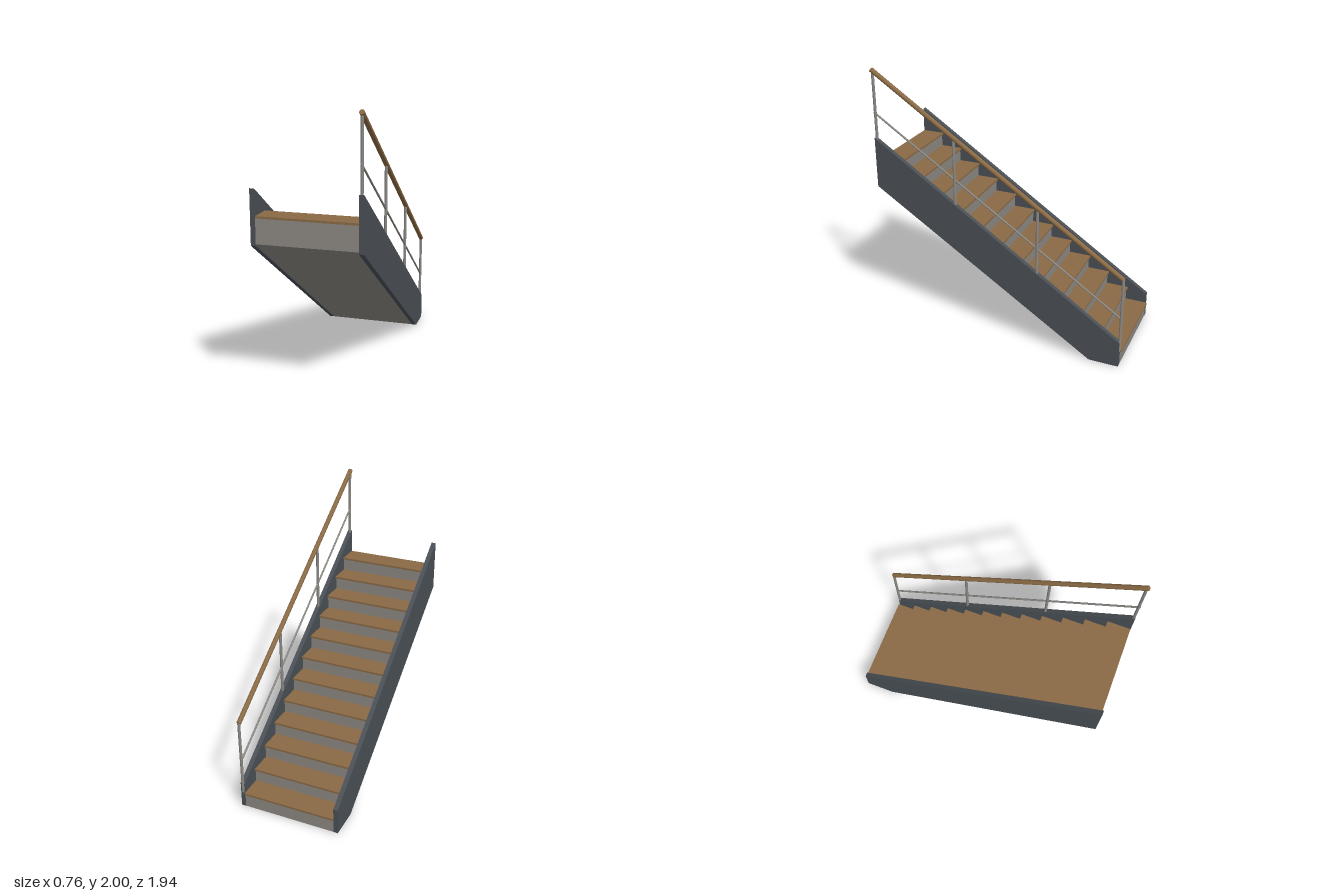
import * as THREE from 'three';

const STEPS = 12, RUN = 0.1595, RISE = 0.1063;
const FIRST_Z = -0.958, FIRST_Y = 0.121, END_Z = 0.957;
const TREAD = 0.015, NOSE = 0.012;
const INNER = 0.348, OUTER = 0.382, RAIL_X = 0.364;

export function createModel() {
  const mat = (name, color) => {
    const m = new THREE.MeshStandardMaterial({ color });
    m.name = name;
    return m;
  };
  const wood = mat('wood', 0x8a6a45);
  const paintedSteel = mat('dark painted steel', 0x4a5056);
  const concrete = mat('grey stair body', 0x8c8883);
  const metal = mat('rail metal', 0x8a8883);

  const model = new THREE.Group();
  model.name = 'staircase';
  const add = (name, geometry, material) => {
    const mesh = new THREE.Mesh(geometry, material);
    mesh.name = name;
    model.add(mesh);
    return mesh;
  };

  // Side profile given as [z, y] points, extruded across x from x0 to x1
  const sideProfile = (points, x0, x1) => {
    const shape = new THREE.Shape(points.map(([z, y]) => new THREE.Vector2(z, y)));
    const g = new THREE.ExtrudeGeometry(shape, { depth: x1 - x0, bevelEnabled: false });
    return g.rotateY(-Math.PI / 2).translate(x1, 0, 0);
  };

  // Round bar between two [z, y] points in the railing plane
  const bar = (name, a, b, radius, material, sides) => {
    const p = new THREE.Vector3(RAIL_X, a[1], a[0]);
    const q = new THREE.Vector3(RAIL_X, b[1], b[0]);
    const dir = q.clone().sub(p);
    const mesh = add(name, new THREE.CylinderGeometry(radius, radius, dir.length(), sides), material);
    mesh.position.copy(p).add(q).multiplyScalar(0.5);
    mesh.quaternion.setFromUnitVectors(new THREE.Vector3(0, 1, 0), dir.normalize());
  };

  // Stringers
  const stringer = [[-0.958, 0], [-0.737, 0], [END_Z, 1.09], [END_Z, 1.472], [-0.958, 0.197]];
  add('leftStringer', sideProfile(stringer, INNER, OUTER), paintedSteel);
  add('rightStringer', sideProfile(stringer, -OUTER, -INNER), paintedSteel);

  // Stepped body with risers and sloping soffit
  const body = [[FIRST_Z, 0.001], [-0.737, 0.001], [END_Z - 0.002, 1.102]];
  for (let i = STEPS - 1; i >= 0; i--) {
    const y = FIRST_Y + i * RISE - TREAD;
    const back = i === STEPS - 1 ? END_Z - 0.002 : FIRST_Z + (i + 1) * RUN;
    body.push([back, y], [FIRST_Z + i * RUN, y]);
  }
  add('stairBody', sideProfile(body, -INNER, INNER), concrete);

  // Treads with a small nosing
  for (let i = 0; i < STEPS; i++) {
    const z0 = FIRST_Z + i * RUN - NOSE;
    const z1 = Math.min(FIRST_Z + (i + 1) * RUN, END_Z);
    const tread = add('tread', new THREE.BoxGeometry(INNER * 2, TREAD, z1 - z0), wood);
    tread.position.set(0, FIRST_Y + i * RISE - TREAD / 2, (z0 + z1) / 2);
  }

  // Railing on the left side
  const railY = z => 1.345 + z * 0.6645;
  bar('handrail', [-0.957, railY(-0.957)], [0.957, railY(0.957)], 0.0175, wood, 20);
  bar('middleRail', [-0.957, railY(-0.957) - 0.317], [0.957, railY(0.957) - 0.317], 0.007, metal, 12);
  for (const z of [-0.957, -0.316, 0.323, 0.946]) {
    bar('post', [z, 0.76 + z * 0.6645], [z, railY(z)], 0.0105, metal, 16);
  }
  return model;
}
